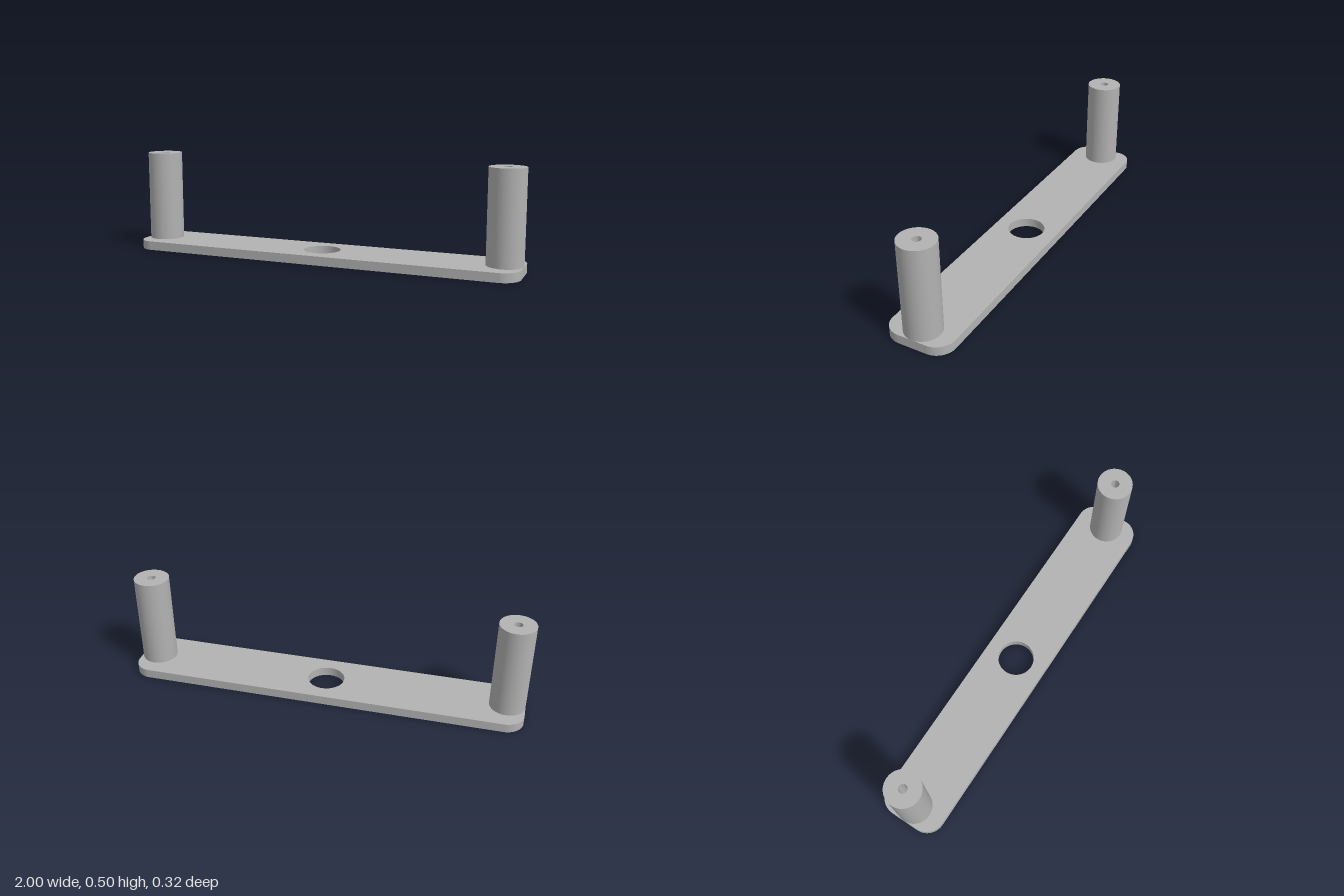
import * as THREE from 'three';
import { toCreasedNormals } from 'three/addons/utils/BufferGeometryUtils.js';

const PLATE_TOP = 0.045;
const CREASE = Math.PI / 6;

// Flat bar with rounded corners and a round hole through the middle
function plateGeometry() {
  const w = 1, d = 0.162, r = 0.09;
  const shape = new THREE.Shape();
  shape.moveTo(-w + r, -d);
  shape.lineTo(w - r, -d);
  shape.absarc(w - r, -d + r, r, -Math.PI / 2, 0);
  shape.lineTo(w, d - r);
  shape.absarc(w - r, d - r, r, 0, Math.PI / 2);
  shape.lineTo(-w + r, d);
  shape.absarc(-w + r, d - r, r, Math.PI / 2, Math.PI);
  shape.lineTo(-w, -d + r);
  shape.absarc(-w + r, -d + r, r, Math.PI, Math.PI * 1.5);
  const hole = new THREE.Path();
  hole.absarc(0, 0, 0.092, 0, Math.PI * 2, true);
  shape.holes.push(hole);
  const geo = new THREE.ExtrudeGeometry(shape, { depth: PLATE_TOP, bevelEnabled: false, curveSegments: 24 });
  geo.rotateX(-Math.PI / 2);
  return toCreasedNormals(geo, CREASE);
}

// Round post with a narrow blind bore in its top
function postGeometry() {
  const radius = 0.088, bore = 0.021, top = 0.502, boreFloor = 0.25;
  const profile = [
    [radius, PLATE_TOP], [radius, top], [bore, top], [bore, boreFloor], [0, boreFloor],
  ].map(([x, y]) => new THREE.Vector2(x, y));
  return toCreasedNormals(new THREE.LatheGeometry(profile, 48), CREASE);
}

export function createModel() {
  const model = new THREE.Group();
  model.name = 'twoPostBracket';
  const grey = new THREE.MeshStandardMaterial({ color: 0xb2b2b2 });
  grey.name = 'grey';

  const plate = new THREE.Mesh(plateGeometry(), grey);
  plate.name = 'basePlate';
  model.add(plate);

  // One post at each end
  const geo = postGeometry();
  for (const [name, side] of [['leftPost', 1], ['rightPost', -1]]) {
    const post = new THREE.Mesh(geo, grey);
    post.name = name;
    post.position.x = side * 0.912;
    model.add(post);
  }
  return model;
}
